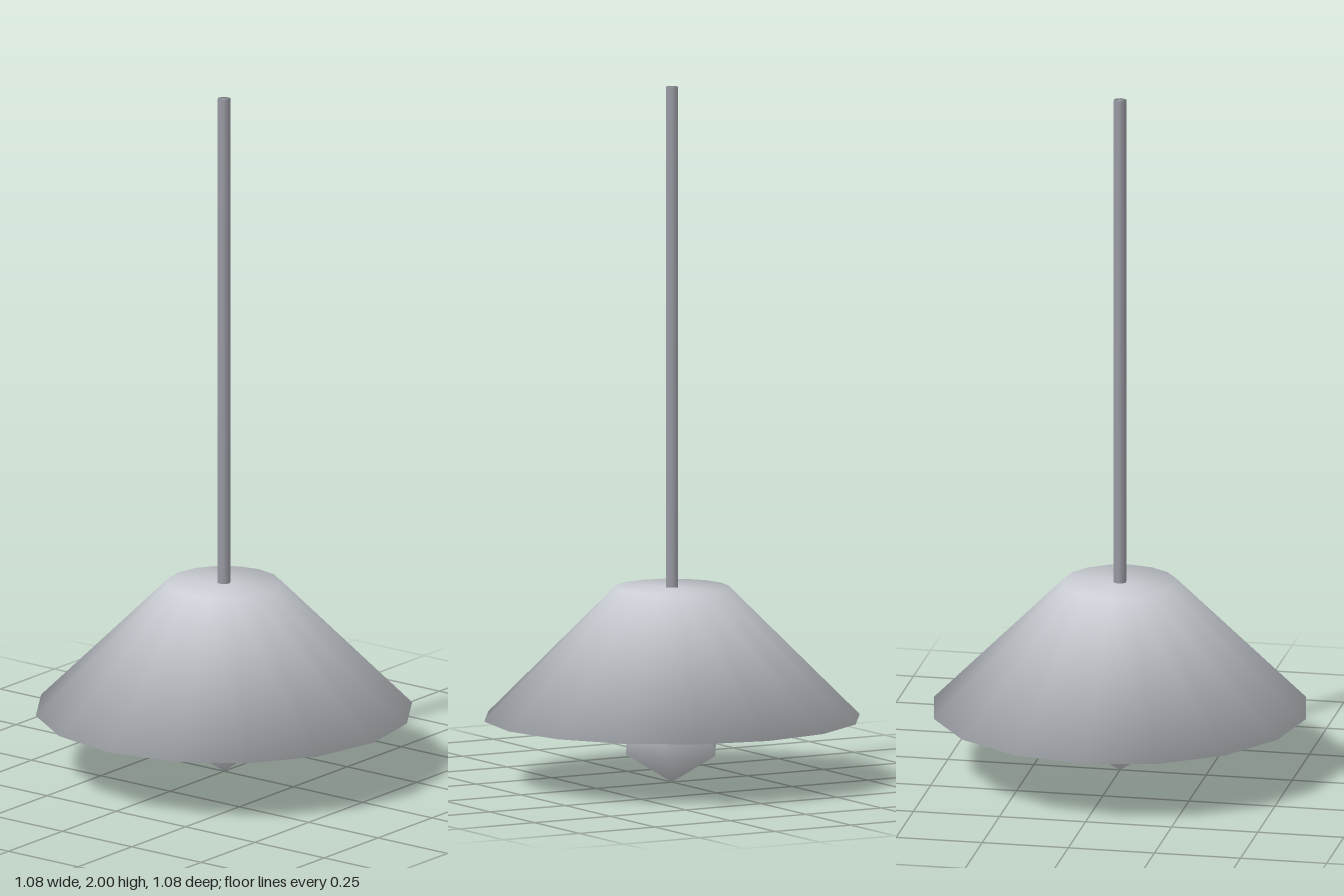
import * as THREE from 'three';

const shadeGrey = new THREE.MeshStandardMaterial({ color: 0xc8ccd2 });
shadeGrey.name = 'pale grey';
const rodGrey = new THREE.MeshStandardMaterial({ color: 0x9c9ca6 });
rodGrey.name = 'rod grey';

// Closed tapered prism whose normals run smoothly across the rims
function smoothFrustum(bottomRadius, topRadius, bottomY, topY, sides) {
  const profile = [
    new THREE.Vector2(0, bottomY),
    new THREE.Vector2(bottomRadius, bottomY),
    new THREE.Vector2(topRadius, topY),
    new THREE.Vector2(0, topY),
  ];
  const geometry = new THREE.LatheGeometry(profile, sides);
  const { position, normal } = geometry.attributes;
  // Shorter normals at the cap centres keep the caps blending linearly from the rim
  for (let i = 0; i < position.count; i++) {
    if (Math.hypot(position.getX(i), position.getZ(i)) < 1e-6) {
      normal.setXYZ(i, 0, normal.getY(i + (i % 4 === 0 ? 1 : -1)), 0);
    }
  }
  return geometry;
}

// Smooth icosahedron standing on one corner
function bulbGeometry(radius) {
  const geometry = new THREE.IcosahedronGeometry(radius, 0);
  geometry.rotateX(-Math.atan((1 + Math.sqrt(5)) / 2));
  geometry.rotateY(Math.PI / 2);
  geometry.setAttribute('normal', geometry.attributes.position.clone());
  geometry.normalizeNormals();
  geometry.translate(0, radius, 0);
  return geometry;
}

export function createModel() {
  const lamp = new THREE.Group();
  lamp.name = 'pendantLamp';
  const add = (name, geometry, material) => {
    const mesh = new THREE.Mesh(geometry, material);
    mesh.name = name;
    lamp.add(mesh);
  };

  add('hangingRod', smoothFrustum(0.02, 0.02, 0.56, 2, 6), rodGrey);
  add('shade', smoothFrustum(0.54, 0.163, 0.185, 0.562, 16), shadeGrey);
  add('bulb', bulbGeometry(0.15), shadeGrey);
  return lamp;
}
